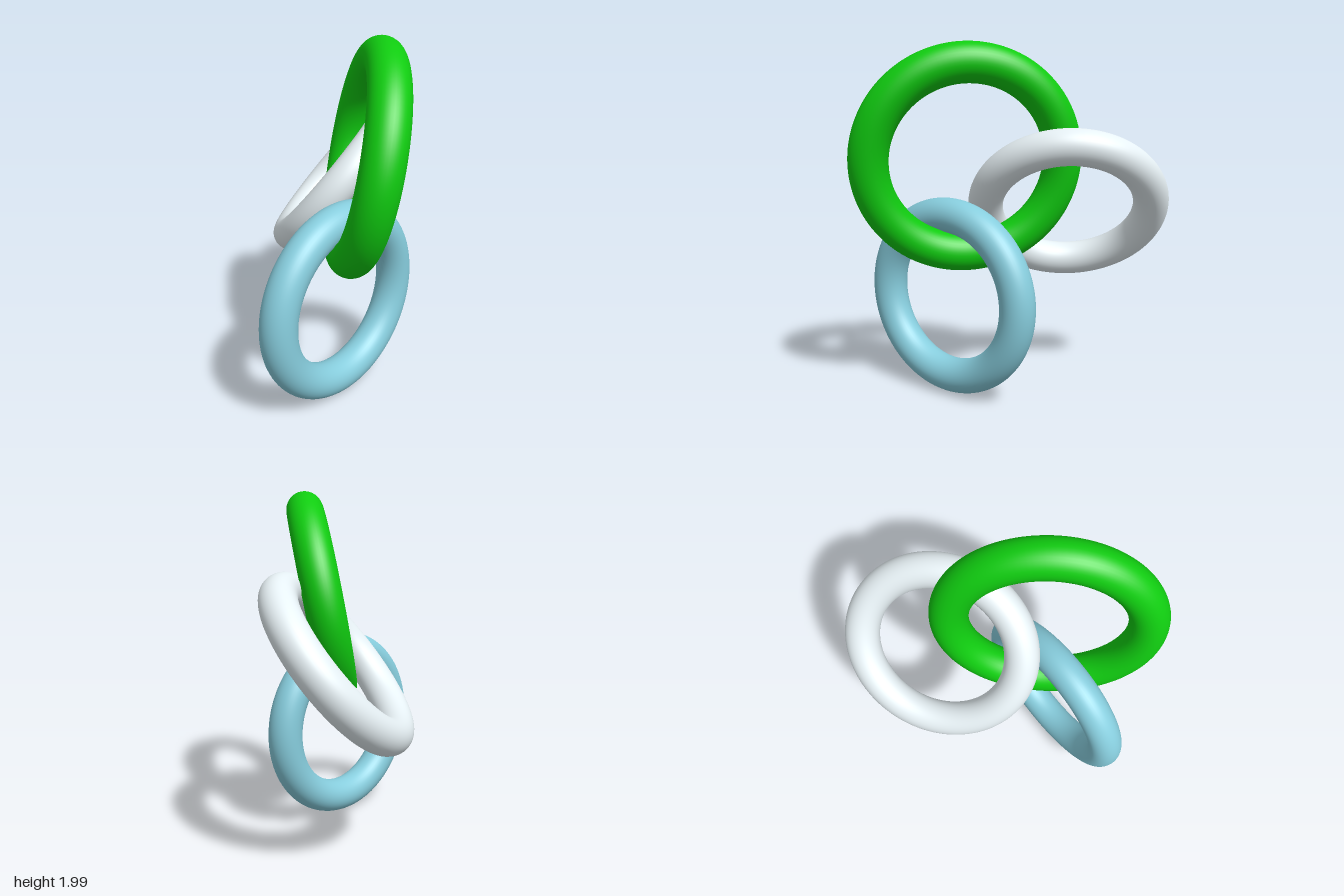
import * as THREE from 'three';

// One smooth ring, turned so its axis follows the given normal
function ring(name, color, radius, tube, normal, center) {
  const mesh = new THREE.Mesh(
    new THREE.TorusGeometry(radius, tube, 40, 128),
    new THREE.MeshStandardMaterial({ color })
  );
  mesh.name = name;
  mesh.quaternion.setFromUnitVectors(
    new THREE.Vector3(0, 0, 1),
    new THREE.Vector3(...normal).normalize()
  );
  mesh.position.set(...center);
  return mesh;
}

export function createModel() {
  const group = new THREE.Group();
  group.name = 'linkedRings';
  group.add(
    // Upper ring, linking the other two
    ring('greenRing', 0x10cc10, 0.532, 0.107, [0.974, -0.185, 0.128], [0.093, 1.368, 0.258]),
    // Upright lower ring
    ring('blueRing', 0x87cddd, 0.475, 0.1, [0.576, 0, 0.817], [-0.042, 0.578, 0.335]),
    // Tilted rear ring
    ring('whiteRing', 0xe6f0f4, 0.475, 0.1, [0.726, -0.629, 0.277], [0.098, 1.085, -0.338])
  );
  return group;
}
